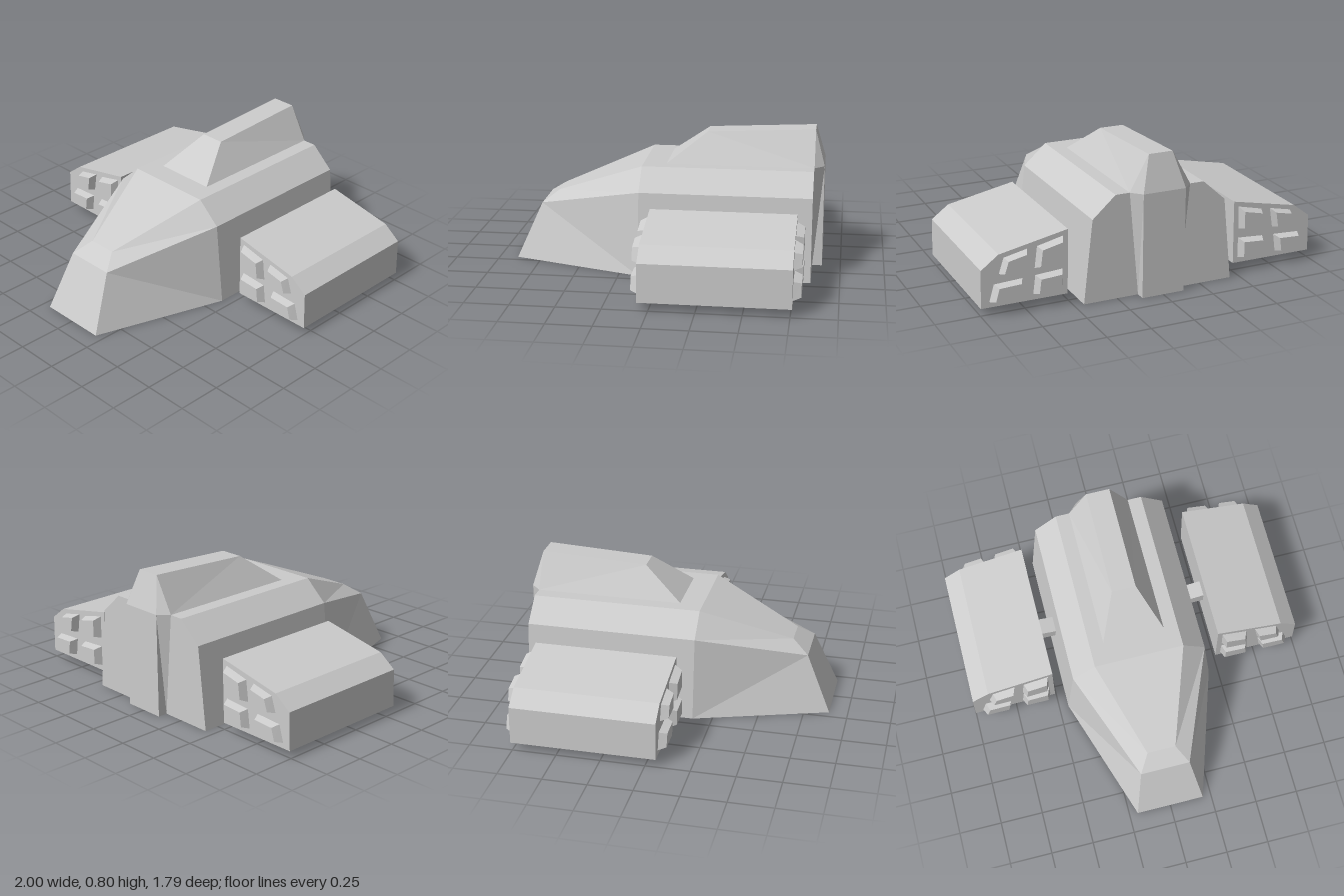
import * as THREE from 'three';

const material = new THREE.MeshStandardMaterial({ color: 0xcccccc, flatShading: true });

function addMesh(parent, geometry, name) {
  const mesh = new THREE.Mesh(geometry, material);
  mesh.name = name;
  parent.add(mesh);
}

// Lofts half profiles (bottom centre, out to +x, up to top centre) from front
// to back, mirrors them across x = 0 and closes both ends.
function mirroredLoft(sections, flipDiagonal = false) {
  const flatten = (section) => section.map(([, y, z]) => [0, y, z]);
  const rings = [flatten(sections[0]), ...sections, flatten(sections.at(-1))];
  const positions = [];
  const triangle = (a, b, c) => {
    const area = new THREE.Triangle(...[a, b, c].map((p) => new THREE.Vector3(...p))).getArea();
    if (area < 1e-6) return;
    positions.push(...a, ...b, ...c);
    for (const [x, y, z] of [c, b, a]) positions.push(-x, y, z);
  };
  for (let r = 0; r < rings.length - 1; r++) {
    for (let i = 0; i < rings[r].length - 1; i++) {
      const a = rings[r][i], b = rings[r][i + 1];
      const d = rings[r + 1][i], c = rings[r + 1][i + 1];
      if (flipDiagonal) {
        triangle(a, d, c);
        triangle(a, c, b);
      } else {
        triangle(a, d, b);
        triangle(d, c, b);
      }
    }
  }
  const geometry = new THREE.BufferGeometry();
  geometry.setAttribute('position', new THREE.Float32BufferAttribute(positions, 3));
  geometry.computeVertexNormals();
  return geometry;
}

// Straight prism from an x-y outline; sx = -1 mirrors the outline.
function prism(outline, depth, sx) {
  const shape = new THREE.Shape(outline.map(([x, y]) => new THREE.Vector2(x * sx, y)));
  return new THREE.ExtrudeGeometry(shape, { depth, bevelEnabled: false });
}

const POD_FRONT = 0.06, POD_BACK = -0.76, PORT_DEPTH = 0.044;
const podOutline = [[0.507, 0.045], [1, 0.045], [0.995, 0.26], [0.896, 0.335], [0.503, 0.415]];
const strutOutline = [[0.38, 0.205], [0.52, 0.21], [0.52, 0.285], [0.38, 0.265]];
const portOutlines = [
  [[0.535, 0.249], [0.695, 0.225], [0.68, 0.347], [0.532, 0.382]],
  [[0.755, 0.227], [0.896, 0.225], [0.868, 0.313], [0.736, 0.342]],
  [[0.535, 0.078], [0.705, 0.076], [0.692, 0.184], [0.535, 0.195]],
  [[0.78, 0.076], [0.952, 0.076], [0.925, 0.172], [0.765, 0.18]],
];

// Prism whose outer end shrinks towards its middle; facing = 1 front, -1 back.
function port(outline, side, facing) {
  const sx = side * facing;
  const geometry = prism(outline, PORT_DEPTH, sx);
  const cx = sx * outline.reduce((sum, p) => sum + p[0], 0) / 4;
  const cy = outline.reduce((sum, p) => sum + p[1], 0) / 4;
  const pos = geometry.attributes.position;
  for (let i = 0; i < pos.count; i++) {
    if (pos.getZ(i) < PORT_DEPTH / 2) continue;
    pos.setX(i, cx + (pos.getX(i) - cx) * 0.77);
    pos.setY(i, cy + (pos.getY(i) - cy) * 0.75);
  }
  if (facing < 0) geometry.rotateY(Math.PI);
  geometry.translate(0, 0, facing > 0 ? POD_FRONT : POD_BACK);
  geometry.computeVertexNormals();
  return geometry;
}

function createPod(side) {
  const pod = new THREE.Group();
  pod.name = side > 0 ? 'leftPod' : 'rightPod';
  addMesh(pod, prism(podOutline, POD_FRONT - POD_BACK, side).translate(0, 0, POD_BACK), 'podBody');
  addMesh(pod, prism(strutOutline, 0.095, side).translate(0, 0, -0.345), 'strut');
  for (const facing of [1, -1]) {
    for (const outline of portOutlines) {
      addMesh(pod, port(outline, side, facing), facing > 0 ? 'frontPort' : 'rearPort');
    }
  }
  return pod;
}

export function createModel() {
  const model = new THREE.Group();
  model.name = 'spacecraft';

  // Hull: tapered nose running into a constant faceted body
  const body = (z) => [[0, 0, z], [0.445, 0, z], [0.395, 0.475, z], [0.262, 0.595, z], [0, 0.595, z]];
  const nose = [[0, 0, 0.893], [0.2, 0, 0.893], [0.145, 0.325, 0.75], [0.083, 0.393, 0.655], [0, 0.393, 0.655]];
  addMesh(model, mirroredLoft([nose, body(0.14), body(-0.837)]), 'hull');

  // Raised spine on the roof
  addMesh(model, mirroredLoft([
    [[0, 0.595, 0.008], [0.18, 0.595, 0.008], [0.07, 0.765, -0.218], [0, 0.765, -0.218]],
    [[0, 0.595, -0.837], [0.18, 0.595, -0.837], [0.07, 0.795, -0.837], [0, 0.795, -0.837]],
  ]), 'spine');

  // Post down the back, continuing the spine to the ground
  addMesh(model, mirroredLoft([
    [[0, 0, -0.837], [0.125, 0, -0.837], [0.18, 0.595, -0.837], [0.07, 0.795, -0.837], [0, 0.795, -0.837]],
    [[0, 0, -0.893], [0.125, 0, -0.893], [0.125, 0.595, -0.893], [0.07, 0.795, -0.837], [0, 0.795, -0.837]],
  ], true), 'rearPost');

  model.add(createPod(1), createPod(-1));
  return model;
}
